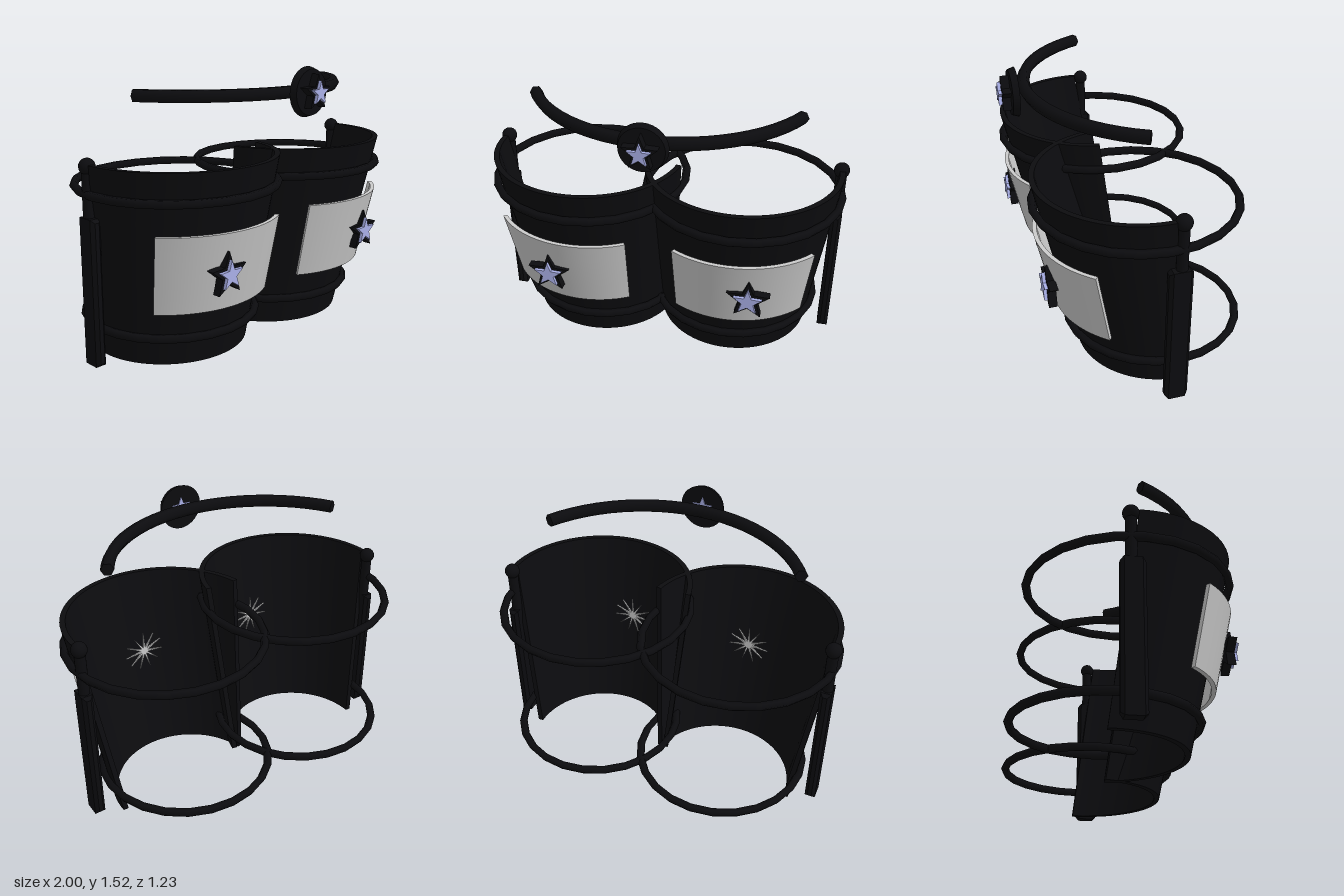
import * as THREE from 'three';

const black = new THREE.MeshStandardMaterial({ color: 0x0c0c0f, side: THREE.DoubleSide });
const blackFlat = new THREE.MeshStandardMaterial({ color: 0x0c0c0f, flatShading: true });
const grey = new THREE.MeshStandardMaterial({ color: 0xcccccc, side: THREE.DoubleSide });
const lilac = new THREE.MeshStandardMaterial({ color: 0xaab0e8 });
const rad = THREE.MathUtils.degToRad;

function add(parent, name, geometry, material, x = 0, y = 0, z = 0) {
  const mesh = new THREE.Mesh(geometry, material);
  mesh.name = name;
  mesh.position.set(x, y, z);
  parent.add(mesh);
  return mesh;
}

// Curved panel following the leaning, tapering cuff: angles in degrees from the front
function curvedPanel(side, a0, a1, y0, y1, inner, outer, segments) {
  const g = new THREE.BoxGeometry(1, 1, 1, segments, 4, 1);
  const p = g.attributes.position;
  const [from, to] = side > 0 ? [a0, a1] : [-a1, -a0];
  for (let i = 0; i < p.count; i++) {
    const angle = rad(THREE.MathUtils.lerp(from, to, p.getX(i) + 0.5));
    const y = THREE.MathUtils.lerp(y0, y1, p.getY(i) + 0.5);
    const t = y / 1.068;
    const r = 0.44 + 0.104 * t + THREE.MathUtils.lerp(inner, outer, p.getZ(i) + 0.5);
    const cx = side * (0.4 + 0.032 * t), cz = -0.138 + 0.138 * t;
    p.setXYZ(i, cx + r * Math.sin(angle), y, cz + r * Math.cos(angle));
  }
  g.computeVertexNormals();
  return g;
}

// Extruded star with its back at z = 0
function starGeometry(outer, inner, depth, points = 5) {
  const shape = new THREE.Shape();
  for (let i = 0; i < points * 2; i++) {
    const r = i % 2 ? inner : outer;
    const a = Math.PI / 2 + (i * Math.PI) / points;
    if (i) shape.lineTo(r * Math.cos(a), r * Math.sin(a));
    else shape.moveTo(r * Math.cos(a), r * Math.sin(a));
  }
  return new THREE.ExtrudeGeometry(shape, { depth, bevelEnabled: false });
}

// Dark star with a smaller coloured star on its face
function starBadge(name, x, y, z, size) {
  const badge = new THREE.Group();
  badge.name = name;
  badge.position.set(x, y, z);
  add(badge, 'starBacking', starGeometry(size, size * 0.42, 0.045), blackFlat);
  add(badge, 'starFace', starGeometry(size * 0.66, size * 0.27, 0.02), lilac, 0, 0, 0.043);
  return badge;
}

// Upright bar with chamfered edges
function barGeometry(w, h, d, bevel) {
  const x = w / 2 - bevel, y = h / 2 - bevel;
  const shape = new THREE.Shape([
    new THREE.Vector2(-x, -y), new THREE.Vector2(x, -y),
    new THREE.Vector2(x, y), new THREE.Vector2(-x, y),
  ]);
  const g = new THREE.ExtrudeGeometry(shape, {
    depth: d - 2 * bevel, bevelThickness: bevel, bevelSize: bevel, bevelSegments: 1,
  });
  return g.center();
}

function createCuff(side) {
  const cuff = new THREE.Group();
  cuff.name = side > 0 ? 'leftCuff' : 'rightCuff';

  // The inner edge stops short of the outer one
  add(cuff, 'shell', curvedPanel(side, -80, 93, 0.003, 1.068, -0.03, 0, 40), black);
  add(cuff, 'plate', curvedPanel(side, -31, 50, 0.33, 0.755, 0.04, 0.063, 20), grey);
  cuff.add(starBadge('plateStar', side * 0.548, 0.54, 0.468, 0.12));

  // Spiky rivet burst on the inner wall
  add(cuff, 'innerBurst', starGeometry(0.12, 0.022, 0.01, 11), grey, side * 0.385, 0.63, 0.345);

  // Hoops around the leg
  for (const [name, r, cx, y, cz] of [
    ['upperRing', 0.54, 0.434, 0.917, -0.004],
    ['lowerRing', 0.477, 0.4, 0.167, -0.116],
  ]) {
    const g = new THREE.TorusGeometry(r, 0.023, 6, 24).rotateX(Math.PI / 2);
    add(cuff, name, g, black, side * cx, y, cz);
  }

  // Side bar, rod and knob
  add(cuff, 'sideBar', barGeometry(0.06, 0.785, 0.125, 0.018), blackFlat, side * 0.957, 0.405, -0.062);
  add(cuff, 'sideRod', new THREE.CylinderGeometry(0.03, 0.03, 0.28, 12), black, side * 0.955, 0.9, -0.068);
  add(cuff, 'sideKnob', new THREE.SphereGeometry(0.043, 16, 12), black, side * 0.955, 1.055, -0.068);
  return cuff;
}

function createHeadband() {
  const band = new THREE.Group();
  band.name = 'headband';
  const R = 0.815, tube = 0.035, half = rad(62.8), y = 1.39, cz = -0.351;

  const arc = new THREE.TorusGeometry(R, tube, 6, 24, 2 * half)
    .rotateZ(Math.PI / 2 - half).rotateX(Math.PI / 2);
  add(band, 'bandArc', arc, black, 0, y, cz);
  for (const s of [-1, 1]) {
    const cap = new THREE.CircleGeometry(tube, 6).rotateX(Math.PI / 2)
      .translate(R, 0, 0).rotateZ(Math.PI / 2 + s * half).rotateX(Math.PI / 2);
    add(band, 'bandEnd', cap, black, 0, y, cz);
  }

  // Round medallion, slightly wider at the back, with a star on both faces
  const disc = new THREE.CylinderGeometry(0.118, 0.13, 0.035, 32).rotateX(Math.PI / 2);
  add(band, 'medallion', disc, black, 0, y, 0.533);
  band.add(starBadge('medallionStar', 0, y, 0.55, 0.095));
  add(band, 'medallionBackStar', starGeometry(0.063, 0.026, 0.01), lilac, 0, y, 0.511);
  return band;
}

export function createModel() {
  const model = new THREE.Group();
  model.name = 'cuffsAndHeadband';
  model.add(createCuff(1), createCuff(-1), createHeadband());
  return model;
}
